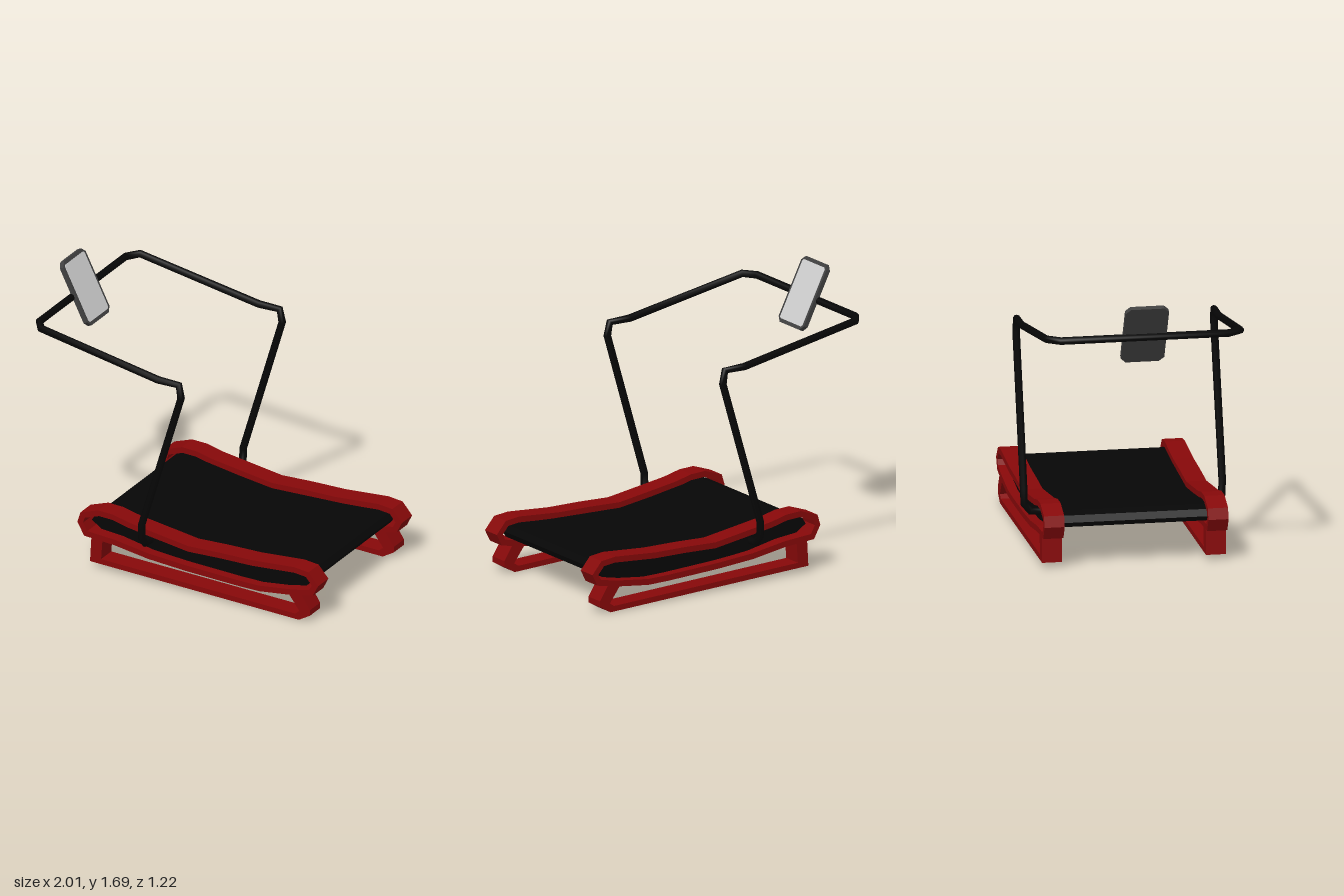
import * as THREE from 'three';

const red = new THREE.MeshStandardMaterial({ color: 0x860809 });
red.name = 'red frame';
const black = new THREE.MeshStandardMaterial({ color: 0x060606 });
black.name = 'black belt and rail';
const darkGrey = new THREE.MeshStandardMaterial({ color: 0x404040 });
darkGrey.name = 'dark grey casing';
const lightGrey = new THREE.MeshStandardMaterial({ color: 0xcecece });
lightGrey.name = 'light grey screen';

const toPoints = (list) => list.map(([x, y]) => new THREE.Vector2(x, y));

// Moves a clockwise outline inwards by d, keeping the corners mitred
function inset(points, d) {
  const n = points.length;
  return points.map((p, i) => {
    const a = p.clone().sub(points[(i + n - 1) % n]).normalize();
    const b = points[(i + 1) % n].clone().sub(p).normalize();
    const na = new THREE.Vector2(a.y, -a.x);
    const nb = new THREE.Vector2(b.y, -b.x);
    const m = na.clone().add(nb).normalize();
    return p.clone().addScaledVector(m, d / m.dot(na));
  });
}

// Extrudes an outline about z = 0; the hole runs against the outline so its walls face inwards
function extrude(outline, depth, hole) {
  const shape = new THREE.Shape(outline);
  if (hole) shape.holes.push(new THREE.Path([...hole].reverse()));
  const geometry = new THREE.ExtrudeGeometry(shape, { depth, bevelEnabled: false });
  return geometry.translate(0, 0, -depth / 2);
}

function add(parent, name, geometry, material) {
  const mesh = new THREE.Mesh(geometry, material);
  mesh.name = name;
  parent.add(mesh);
  return mesh;
}

// A path with one straight run between each pair of points
class BentPath extends THREE.Curve {
  constructor(points) {
    super();
    this.points = points;
  }
  index(t) {
    return Math.round(t * (this.points.length - 1));
  }
  getPointAt(t, target = new THREE.Vector3()) {
    return target.copy(this.points[this.index(t)]);
  }
  getTangentAt(t, target = new THREE.Vector3()) {
    const i = this.index(t);
    const p = this.points;
    target.set(0, 0, 0);
    if (i > 0) target.add(p[i].clone().sub(p[i - 1]).normalize());
    if (i < p.length - 1) target.add(p[i + 1].clone().sub(p[i]).normalize());
    return target.normalize();
  }
}

export function createModel() {
  const model = new THREE.Group();
  model.name = 'curvedTreadmill';

  // Side frames: a curved loop on a slanted foot
  const loop = toPoints([
    [-0.63, 0.27], [-0.61, 0.335], [-0.49, 0.378], [-0.39, 0.375], [-0.28, 0.35],
    [-0.1, 0.325], [0.12, 0.295], [0.33, 0.305], [0.55, 0.31], [0.84, 0.335],
    [0.935, 0.325], [1.0, 0.25], [0.965, 0.18], [0.84, 0.152], [0.6, 0.12],
    [0.45, 0.12], [0.1, 0.13], [-0.15, 0.145], [-0.38, 0.178], [-0.585, 0.19],
  ]);
  const foot = toPoints([
    [-0.535, 0.205], [-0.46, 0.2], [-0.47, 0.065], [0.845, 0.034], [0.875, 0.055],
    [0.8, 0.155], [0.88, 0.18], [0.945, 0.08], [0.945, 0.045], [0.87, 0], [-0.545, 0.034],
  ]);
  for (const side of [1, -1]) {
    const frame = new THREE.Group();
    frame.name = side > 0 ? 'leftSideFrame' : 'rightSideFrame';
    frame.position.z = side * 0.487;
    add(frame, 'loop', extrude(loop, 0.12, inset(loop, 0.036)), red);
    add(frame, 'foot', extrude(foot, 0.119), red);
    model.add(frame);
  }

  // Running belt between and inside the loops
  const belt = toPoints([
    [-0.565, 0.275], [-0.54, 0.313], [-0.48, 0.33], [-0.37, 0.33], [-0.25, 0.312],
    [-0.1, 0.289], [0.12, 0.261], [0.35, 0.27], [0.6, 0.28], [0.84, 0.297],
    [0.9, 0.285], [0.922, 0.25], [0.89, 0.205], [0.75, 0.174], [0.55, 0.15],
    [0.3, 0.153], [0.1, 0.163], [-0.15, 0.183], [-0.35, 0.22], [-0.5, 0.232],
  ]);
  add(model, 'belt', extrude(belt, 0.98), black);

  // Handrail: one bent tube, mirrored about the middle, its ends set into the belt bed
  const half = [
    [-0.17, 0.24, 0.47], [-0.17, 0.245, 0.55], [-0.17, 0.29, 0.587], [-0.17, 0.38, 0.59],
    [0.096, 1.27, 0.588], [0.08, 1.35, 0.586], [-0.06, 1.35, 0.585],
    [-0.86, 1.485, 0.576], [-0.914, 1.485, 0.5],
  ].map((p) => new THREE.Vector3(...p));
  const other = half.map((p) => new THREE.Vector3(p.x, p.y, -p.z)).reverse();
  const rail = [...half, ...other];
  add(model, 'handrail', new THREE.TubeGeometry(new BentPath(rail), rail.length - 1, 0.0225, 10), black);

  // Console: a tilted plate with cut corners, its screen facing the runner
  const plate = (w, h, c) => toPoints([
    [-w, c - h], [-w, h - c], [c - w, h], [w - c, h],
    [w, h - c], [w, c - h], [w - c, -h], [c - w, -h],
  ]);
  const display = new THREE.Group();
  display.name = 'console';
  add(display, 'casing', extrude(plate(0.129, 0.208, 0.03), 0.028), darkGrey);
  add(display, 'screen', extrude(plate(0.113, 0.186, 0.01), 0.006), lightGrey).position.z = 0.013;
  display.rotation.set(-0.47, Math.PI / 2, 0, 'YXZ');
  display.position.set(-0.9, 1.5, 0);
  model.add(display);

  return model;
}
